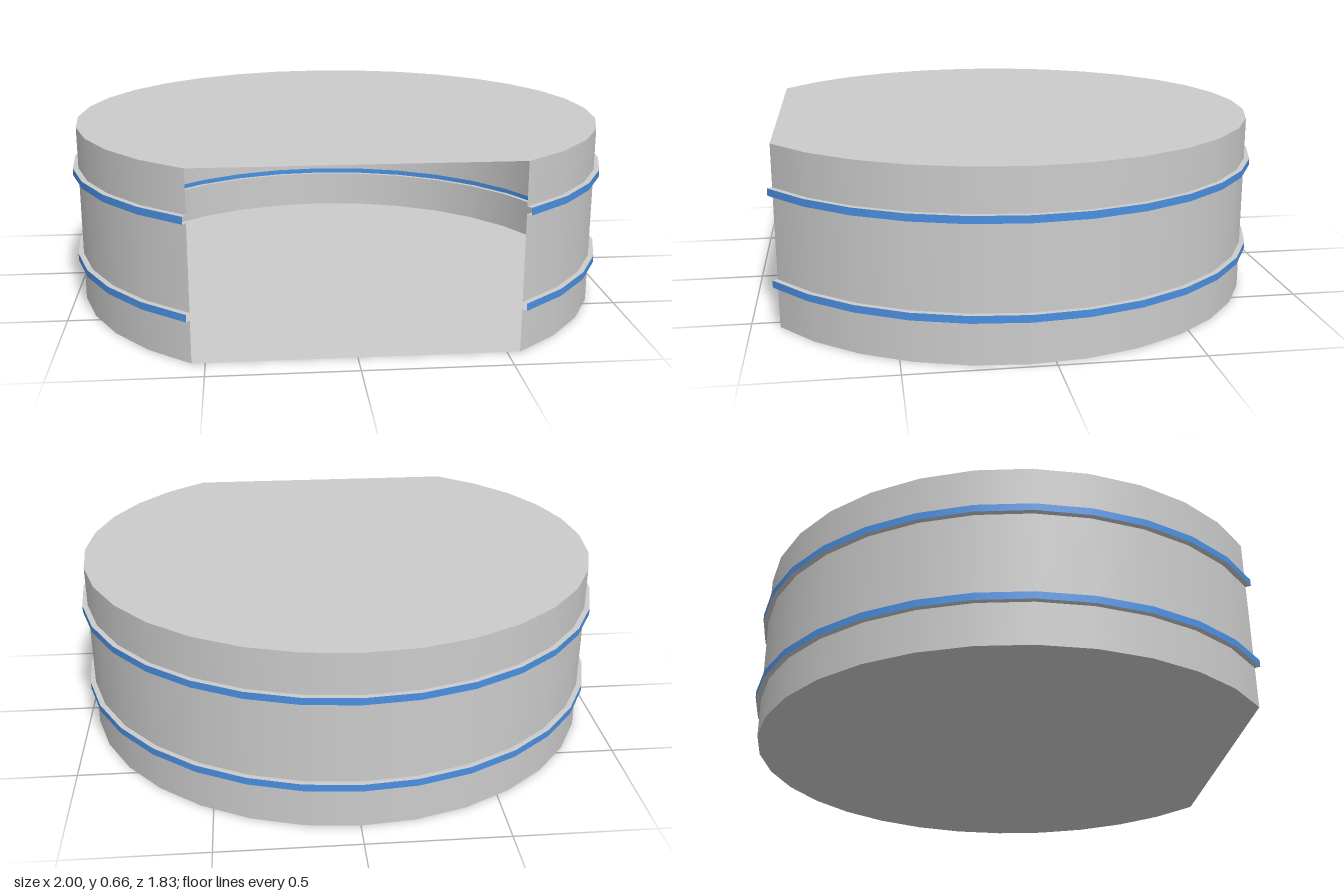
import * as THREE from 'three';

const STEP = Math.PI / 16;      // one facet of a 32-sided circle
const SIDES = 26;               // six facets are left open at the front
const START = 3 * STEP;
const ARC = SIDES * STEP;
const WALL_R = 0.98, RIB_R = 1, HEIGHT = 0.656, RIB_H = 0.026, CENTER_Z = 0.084;

export function createModel() {
  const group = new THREE.Group();
  const grey = new THREE.MeshStandardMaterial({ color: 0xcccccc, side: THREE.DoubleSide });
  const blue = new THREE.MeshStandardMaterial({ color: 0x4a90e2, side: THREE.DoubleSide });

  const add = (name, geometry, material, y) => {
    const mesh = new THREE.Mesh(geometry, material);
    mesh.name = name;
    mesh.position.set(0, y, CENTER_Z);
    group.add(mesh);
  };
  // Open curved strip between two heights
  const strip = (name, radius, y0, y1, material) => add(name,
    new THREE.CylinderGeometry(radius, radius, y1 - y0, SIDES, 1, true, START, ARC),
    material, (y0 + y1) / 2);
  // Flat ledge joining the wall to a rib
  const ledge = (name, y, turn) => {
    const g = new THREE.RingGeometry(WALL_R, RIB_R, SIDES, 1, START - Math.PI / 2, ARC);
    g.rotateX(-Math.PI / 2);
    if (turn) flip(g);
    add(name, g, grey, y);
  };
  // Turn a flat surface to face down
  const flip = (g) => {
    const index = g.index.array;
    for (let i = 0; i < index.length; i += 3) [index[i], index[i + 1]] = [index[i + 1], index[i]];
    g.computeVertexNormals();
  };
  // Flat plate with a straight front edge
  const plate = (name, y, turn) => {
    const points = [];
    for (let i = 0; i <= SIDES; i++) {
      const a = START + i * STEP;
      points.push(new THREE.Vector2(WALL_R * Math.sin(a), -WALL_R * Math.cos(a)));
    }
    const g = new THREE.ShapeGeometry(new THREE.Shape(points));
    g.rotateX(-Math.PI / 2);
    if (turn) flip(g);
    add(name, g, grey, y);
  };

  // Wall bands, interrupted by two hollow coloured ribs
  let y = 0;
  for (const [label, middle] of [['lower', HEIGHT / 4], ['upper', HEIGHT * 3 / 4]]) {
    const y0 = middle - RIB_H / 2, y1 = middle + RIB_H / 2;
    strip(label + 'Wall', WALL_R, y, y0, grey);
    strip(label + 'Rib', RIB_R, y0, y1, blue);
    ledge(label + 'RibUnderside', y0, true);
    ledge(label + 'RibTop', y1, false);
    y = y1;
  }
  strip('topWall', WALL_R, y, HEIGHT, grey);

  // Floor and roof; the front stays open
  plate('floor', 0, true);
  plate('roof', HEIGHT, false);
  return group;
}
